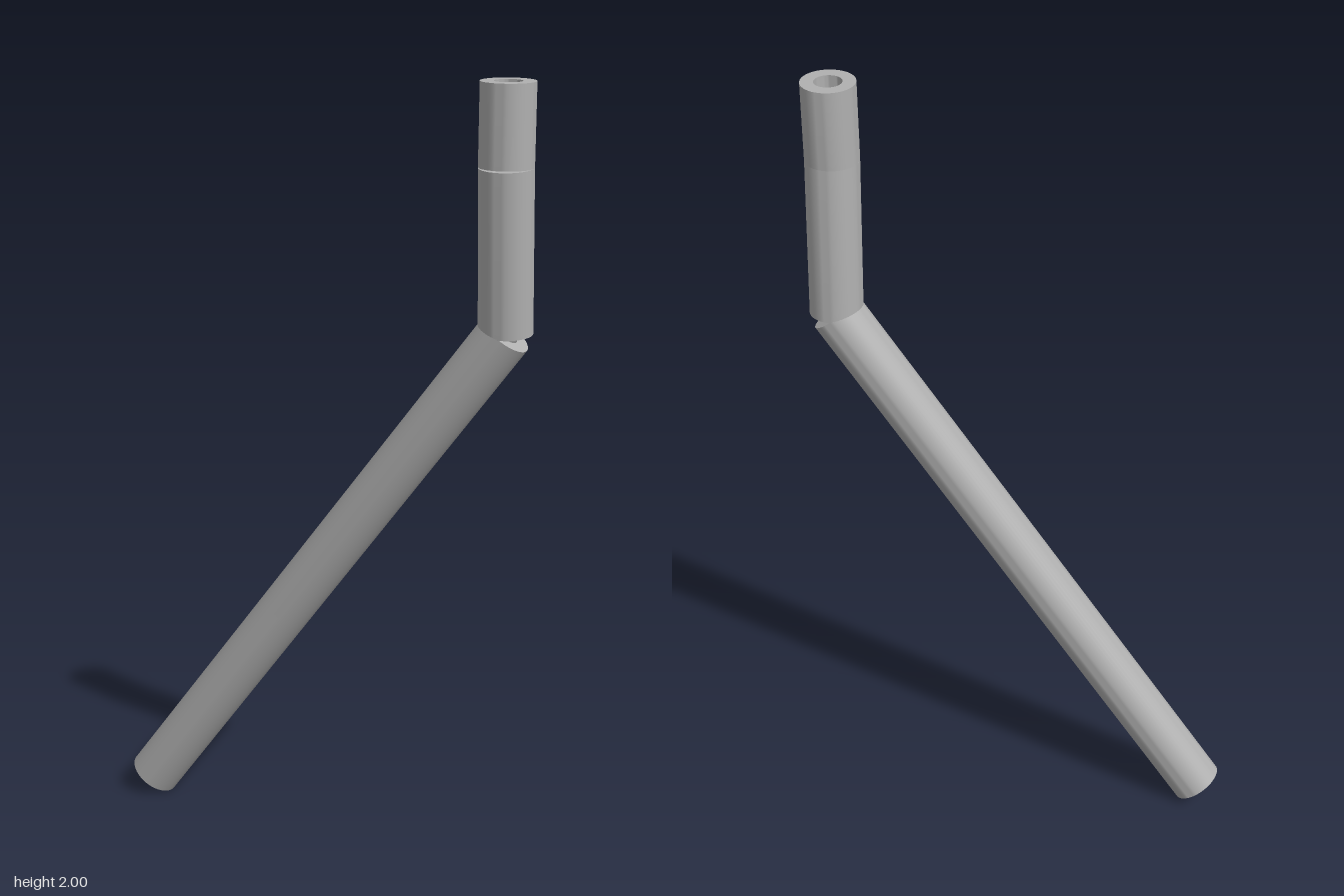
import * as THREE from 'three';
import { toCreasedNormals } from 'three/addons/utils/BufferGeometryUtils.js';

const OUTER = 0.068, INNER = 0.035;

// Hollow straight pipe with square-cut ends, running from one point to another
function pipe(name, from, to, material) {
  const axis = to.clone().sub(from);
  const h = axis.length() / 2;
  const profile = [[INNER, -h], [OUTER, -h], [OUTER, h], [INNER, h], [INNER, -h]]
    .map(([r, y]) => new THREE.Vector2(r, y));
  const geometry = toCreasedNormals(new THREE.LatheGeometry(profile, 48), 0.6);
  const mesh = new THREE.Mesh(geometry, material);
  mesh.name = name;
  mesh.position.copy(from).add(to).multiplyScalar(0.5);
  mesh.quaternion.setFromUnitVectors(new THREE.Vector3(0, 1, 0), axis.normalize());
  return mesh;
}

export function createModel() {
  const grey = new THREE.MeshStandardMaterial({ color: 0xb0b0b0 });
  grey.name = 'pipe grey';

  // Centreline joints from the foot to the open top
  const foot = new THREE.Vector3(-0.503, 0.04, -0.013);
  const elbow = new THREE.Vector3(0.487, 1.384, -0.013);
  const bend = new THREE.Vector3(0.487, 1.795, 0.013);
  const top = new THREE.Vector3(0.487, 2, 0.013);

  const model = new THREE.Group();
  model.name = 'bentPipe';
  model.add(
    pipe('lowerPipe', foot, elbow, grey),
    pipe('middlePipe', elbow, bend, grey),
    pipe('upperPipe', bend, top, grey),
  );
  return model;
}
